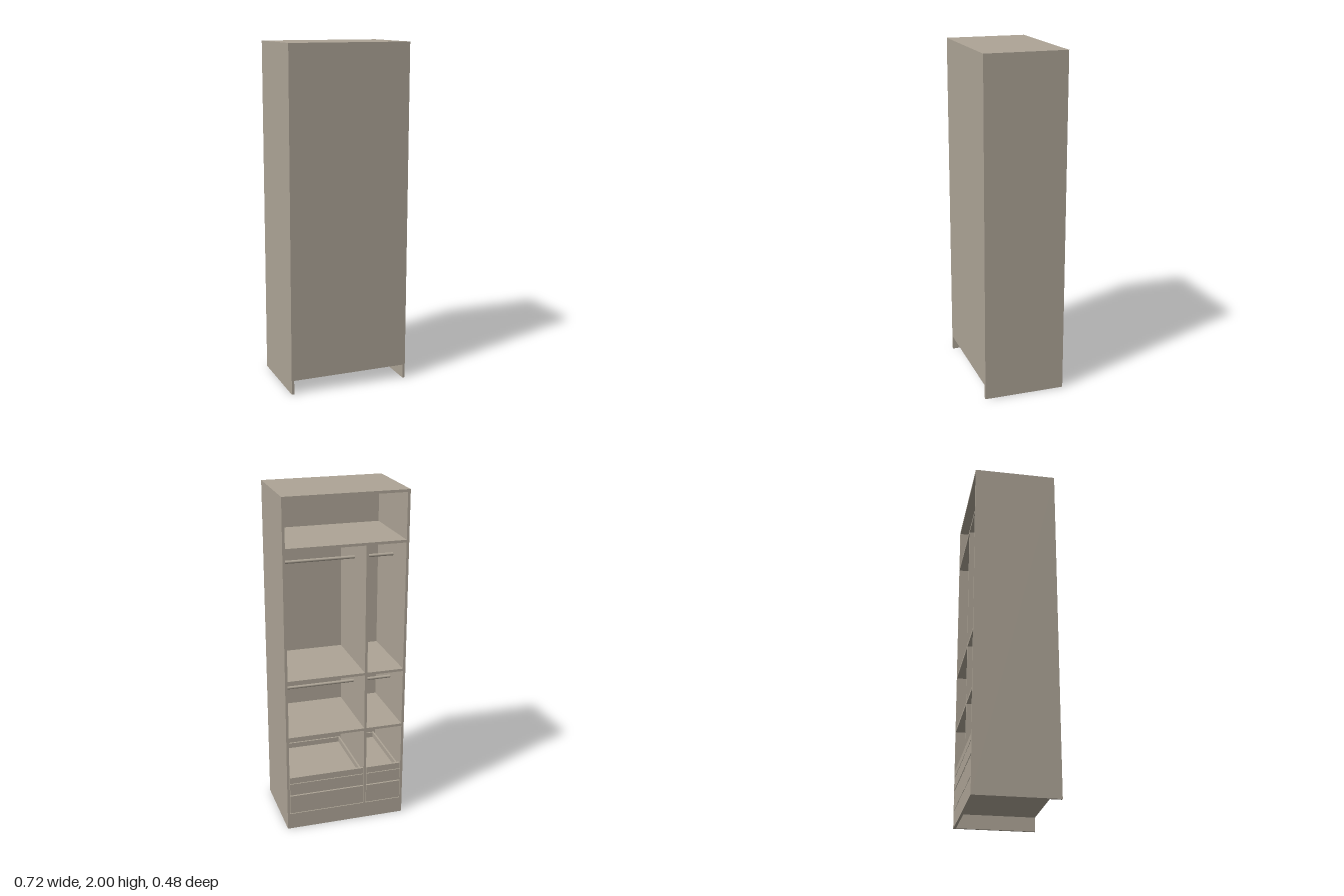
import * as THREE from 'three';

const W = 0.36, D = 0.24, T = 0.015; // half width, half depth, board thickness
const BACK = 0.008;                  // thin closing panel
const IN = W - T;                    // inner half width
const DIV = -0.12;                   // divider centre

export function createModel() {
  const group = new THREE.Group();
  const board = new THREE.MeshStandardMaterial({ color: 0xada496 });
  board.name = 'taupe board';

  // Box from its lower and upper corners
  function box(name, x0, x1, y0, y1, z0, z1) {
    const mesh = new THREE.Mesh(new THREE.BoxGeometry(x1 - x0, y1 - y0, z1 - z0), board);
    mesh.position.set((x0 + x1) / 2, (y0 + y1) / 2, (z0 + z1) / 2);
    mesh.name = name;
    group.add(mesh);
  }

  const zIn = D - BACK;

  // Carcass, open towards -z
  box('leftSide', IN, W, 0, 2, -D, D);
  box('rightSide', -W, -IN, 0, 2, -D, D);
  box('top', -IN, IN, 2 - T, 2, -D, D);
  box('closingPanel', -IN, IN, 0.083, 2 - T, zIn, D);
  box('bottom', -IN, IN, 0.083, 0.098, -D, zIn);
  box('plinth', -IN, IN, 0, 0.083, -D, -D + T);

  // Hat shelf above the vertical divider
  box('hatShelf', -IN, IN, 1.705, 1.72, -D, zIn);
  box('divider', DIV - T / 2, DIV + T / 2, 0.098, 1.705, -D, zIn);

  // Two columns: shelves, hanging rails and drawers
  const columns = [[-IN, DIV - T / 2], [DIV + T / 2, IN]];
  for (const [x0, x1] of columns) {
    for (const y of [0.953, 0.6]) box('shelf', x0, x1, y - T, y, -D, zIn);

    for (const y of [1.585, 0.82]) {
      const rail = new THREE.Mesh(new THREE.CylinderGeometry(0.009, 0.009, x1 - x0, 20), board);
      rail.rotation.z = Math.PI / 2;
      rail.position.set((x0 + x1) / 2, y, -0.025);
      rail.name = 'hangingRail';
      group.add(rail);
    }

    // Drawer fronts with narrow shadow gaps
    const g = 0.003;
    for (const [y0, y1] of [[0.102, 0.216], [0.223, 0.296], [0.3, 0.338]]) {
      box('drawerFront', x0 + g, x1 - g, y0, y1, -D, -D + T);
    }

    // Open tray behind the top front
    const a = x0 + 0.012, b = x1 - 0.012, w = 0.01, z0 = -D + T, z1 = 0.22;
    box('trayFloor', a, b, 0.288, 0.298, z0, z1);
    box('traySide', a, a + w, 0.298, 0.33, z0, z1);
    box('traySide', b - w, b, 0.298, 0.33, z0, z1);
    box('trayEnd', a + w, b - w, 0.298, 0.33, z1 - w, z1);

    // Lower drawer box
    box('drawerBox', a, b, 0.11, 0.2, z0, z1);
  }
  return group;
}
